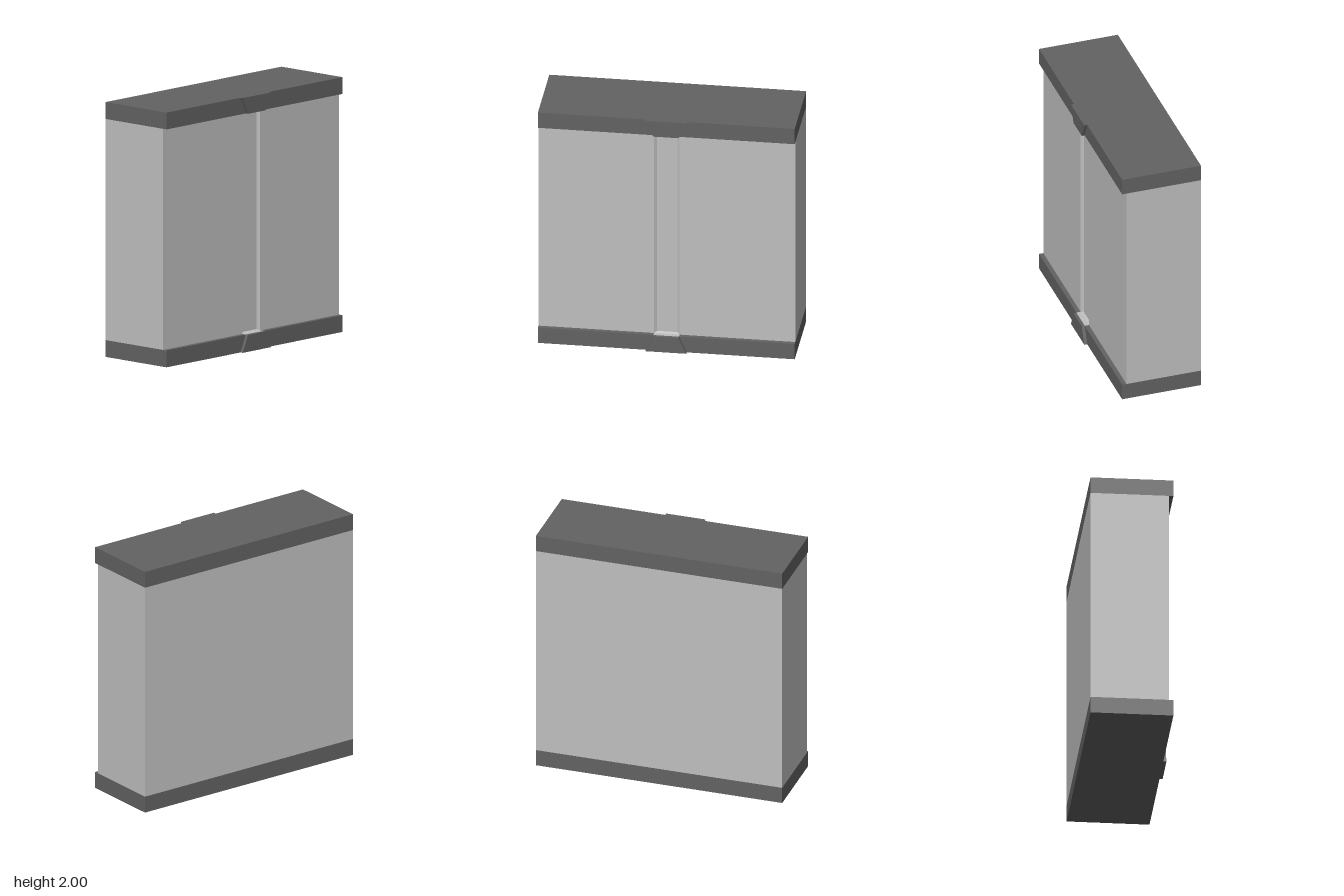
import * as THREE from 'three';

const BAND = 0.132;            // height of the top and bottom bands
const BACK = -0.333, BODY = 0.274, LIP = 0.309, FRONT = 0.333;

function polygon(points) {
  return new THREE.Shape(points.map(([a, b]) => new THREE.Vector2(a, b)));
}

function extrude(points, depth) {
  return new THREE.ExtrudeGeometry(polygon(points), { depth, bevelEnabled: false });
}

export function createModel() {
  const group = new THREE.Group();
  const light = new THREE.MeshStandardMaterial({ color: 0xbfbfbf });
  light.name = 'light grey';
  const dark = new THREE.MeshStandardMaterial({ color: 0x626262 });
  dark.name = 'dark grey';

  const add = (name, geometry, material) => {
    const mesh = new THREE.Mesh(geometry, material);
    mesh.name = name;
    group.add(mesh);
  };

  // Wall body: plan outline with a shallow splayed groove down the front
  const groove = BODY - 0.018;
  const plan = [
    [-1, BACK], [1, BACK], [1, BODY], [0.1, BODY],
    [0.08, groove], [-0.08, groove], [-0.1, BODY], [-1, BODY],
  ].map(([x, z]) => [x, -z]);
  const body = extrude(plan, 2 - 2 * BAND);
  body.rotateX(-Math.PI / 2).translate(0, BAND, 0);
  add('body', body, light);

  for (const top of [false, true]) {
    const end = top ? 'top' : 'bottom';
    const flip = (y) => (top ? 2 - y : y);

    // Full-width band
    const band = new THREE.BoxGeometry(2, BAND, LIP - BACK);
    band.translate(0, flip(BAND / 2), (LIP + BACK) / 2);
    add(end + 'Band', band, dark);

    // Tapered block standing proud of the band
    const key = extrude([[-0.16, 0], [0.16, 0], [0.1, BAND], [-0.1, BAND]]
      .map(([x, y]) => [x, flip(y)]), FRONT - LIP + 0.01);
    key.translate(0, 0, LIP - 0.01);
    add(end + 'Keystone', key, dark);

    // Sloped sill closing the groove, running out over the band edge
    const sill = extrude([
      [groove - 0.01, BAND - 0.005], [LIP, BAND - 0.005], [LIP, BAND + 0.002],
      [BODY, BAND + 0.002], [groove, 0.143], [groove - 0.01, 0.143],
    ].map(([z, y]) => [z, flip(y)]), 0.2);
    sill.rotateY(-Math.PI / 2).translate(0.1, 0, 0);
    add(end + 'Sill', sill, light);
  }

  return group;
}
